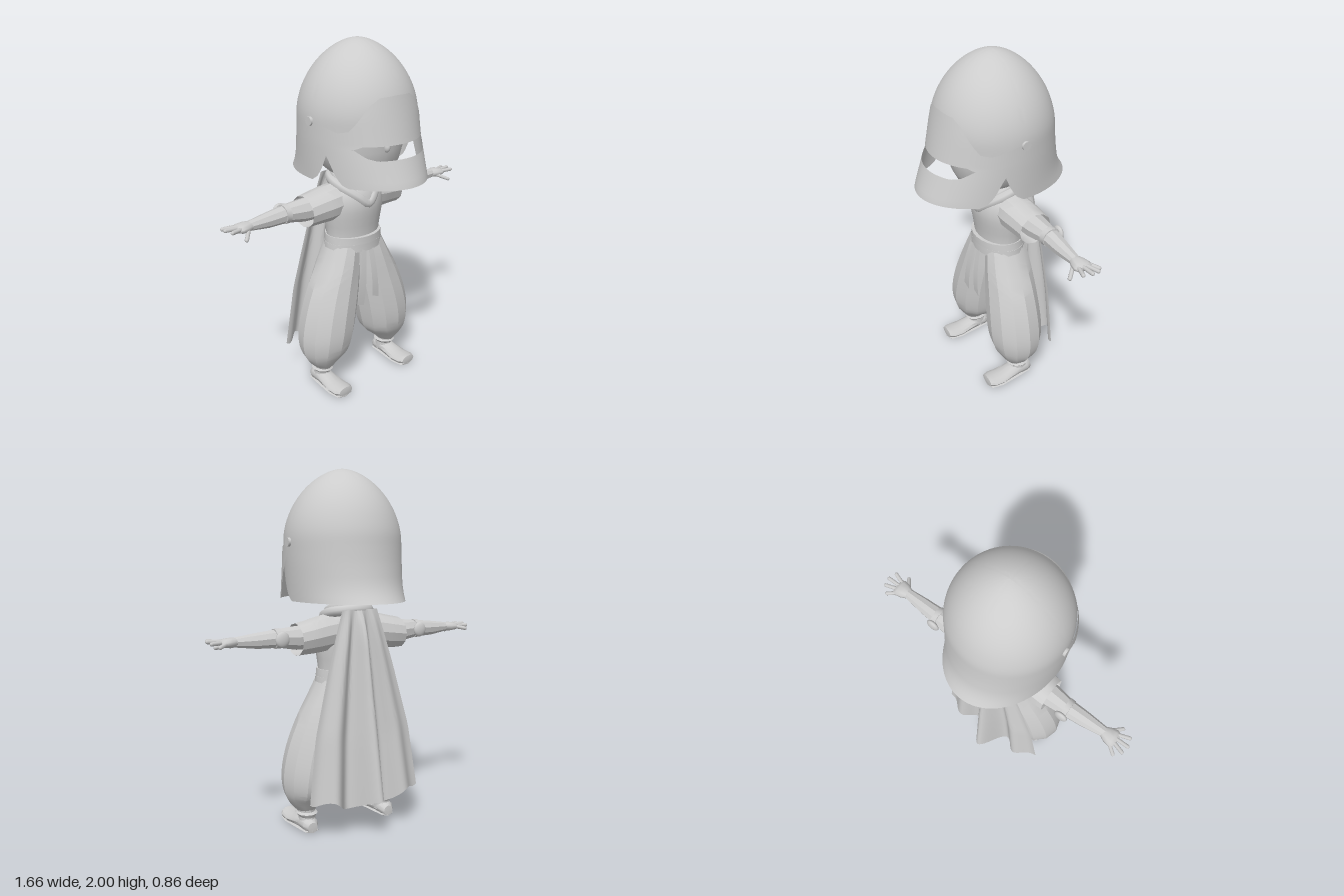
import * as THREE from 'three';
import { toCreasedNormals } from 'three/addons/utils/BufferGeometryUtils.js';
import { ParametricGeometry } from 'three/addons/geometries/ParametricGeometry.js';

const clay = new THREE.MeshStandardMaterial({ color: 0xcccccc, side: THREE.DoubleSide });
clay.name = 'light grey';

const mesh = (name, geometry, parent) => {
  const m = new THREE.Mesh(geometry, clay);
  m.name = name;
  parent.add(m);
  return m;
};

// Curved sheet from a rule fn(u, v) => [x, y, z]
const sheet = (fn, nu, nv, crease = 0.6) =>
  toCreasedNormals(new ParametricGeometry((u, v, p) => p.set(...fn(u, v)), nu, nv), crease);

// Piecewise linear lookup in [x, value] keys
const table = keys => x => {
  if (x <= keys[0][0]) return keys[0][1];
  for (let i = 1; i < keys.length; i++) {
    const [x0, a] = keys[i - 1], [x1, b] = keys[i];
    if (x <= x1) return a + (b - a) * (x - x0) / (x1 - x0);
  }
  return keys[keys.length - 1][1];
};

// Catmull-Rom between rows of numbers
const spline = (rows, f) => {
  const i = Math.min(Math.floor(f), rows.length - 2), t = f - i;
  const at = k => rows[Math.max(0, Math.min(rows.length - 1, k))];
  return rows[i].map((_, k) => {
    const a = at(i - 1)[k], b = at(i)[k], c = at(i + 1)[k], d = at(i + 2)[k];
    return b + 0.5 * t * (c - a + t * (2 * a - 5 * b + 4 * c - d + t * (3 * (b - c) + d - a)));
  });
};

// Loft of ellipses along an axis; each row is [position, centre1, centre2, radius1, radius2]
const loft = (axis, rows, sides, sub = 1, crease = 0.6) => sheet((u, v) => {
  const [t, c1, c2, r1, r2] = spline(rows, v * (rows.length - 1) + 1e-9);
  const a = u * Math.PI * 2, p = c1 + r1 * Math.cos(a), q = r2 * Math.sin(a);
  return axis === 'x' ? [t, p, c2 + q] : axis === 'y' ? [p, t, c2 - q] : [p, c2 + q, t];
}, sides, (rows.length - 1) * sub, crease);

const ball = (name, x, y, z, sx, sy, sz, parent) => {
  const m = mesh(name, new THREE.SphereGeometry(1, 20, 14), parent);
  m.position.set(x, y, z);
  m.scale.set(sx, sy, sz);
};

// Helmet profiles by height: round dome with a slight tip, straight sides
const sideR = table([[1.28, 0.314], [1.4, 0.32], [1.5, 0.324], [1.61, 0.325]]);
const domeR = y => y < 1.61 ? sideR(y) : 0.325 * Math.pow(Math.max(0, 1 - Math.pow((y - 1.61) / 0.39, 1.85)), 0.58);
const flare = table([[1.28, 0.115], [1.3, 0.097], [1.34, 0.068], [1.4, 0.042], [1.5, 0.019], [1.6, 0.006], [1.72, 0]]);
const visorR = table([[1.29, 0.435], [1.43, 0.38], [1.5, 0.352], [1.74, 0.298]]);
const DEG = 180 / Math.PI;

function buildHelmet(parent) {
  const helmet = new THREE.Group();
  helmet.name = 'helmet';
  parent.add(helmet);

  // Shell: open over the face, flared at the nape
  const rim = table([[55, 1.54], [65, 1.5], [72, 1.43], [76, 1.37], [82, 1.32], [90, 1.29]]);
  mesh('helmetShell', sheet((u, v) => {
    const a = (u * 2 - 1) * Math.PI, c = Math.cos(a);
    const yb = rim(Math.abs(a) * DEG), y = 2 - (2 - yb) * Math.pow(1 - v, 1.8);
    const r = domeR(y);
    return [r * Math.sin(a), y, -0.01 + (c < 0 ? r + flare(y) : r) * c];
  }, 96, 36, 0.7), helmet);

  // Visor: brow and jaw plates either side of the eye slot
  const top = table([[0, 1.74], [20, 1.735], [30, 1.7], [42, 1.62], [50, 1.575], [60, 1.565], [90, 1.62]]);
  const slotTop = table([[40, 1.5], [48, 1.485], [70, 1.5], [90, 1.6]]);
  const slotBottom = table([[29, 1.43], [38, 1.445], [48, 1.485], [70, 1.5], [90, 1.6]]);
  const bottom = table([[58, 1.285], [63, 1.3], [67, 1.34], [72, 1.43], [90, 1.58]]);
  const plate = (name, lo, hi) => mesh(name, sheet((u, v) => {
    const a = (u - 0.5) * Math.PI, d = Math.abs(a) * DEG;
    const y = lo(d) + (hi(d) - lo(d)) * v;
    return [(domeR(y) + 0.003) * Math.sin(a), y, -0.01 + (visorR(y) + 0.008) * Math.cos(a)];
  }, 72, 8), helmet);
  plate('visorBrow', slotTop, top);
  plate('visorJaw', bottom, slotBottom);

  // Visor pivots
  for (const s of [-1, 1]) {
    const pin = mesh('visorPivot', new THREE.CylinderGeometry(0.024, 0.024, 0.02, 16), helmet);
    pin.rotation.z = Math.PI / 2;
    pin.position.set(s * 0.328, 1.605, -0.005);
  }
}

function buildArm(side) {
  mesh('sleeve', loft('x', [
    [0.05, 1.125, -0.06, 0.1, 0.1], [0.17, 1.11, -0.065, 0.102, 0.105],
    [0.25, 1.1, -0.075, 0.095, 0.103], [0.33, 1.09, -0.08, 0.088, 0.098]], 12, 2, 0.5), side);
  mesh('arm', loft('x', [
    [0.2, 1.1, -0.08, 0.07, 0.07], [0.34, 1.1, -0.085, 0.064, 0.066], [0.44, 1.105, -0.09, 0.05, 0.052],
    [0.56, 1.1, -0.085, 0.042, 0.044], [0.68, 1.1, -0.08, 0.026, 0.03]], 9, 1, 0.5), side);
  mesh('elbowBand', loft('x', [
    [0.432, 1.105, -0.09, 0.045, 0.045], [0.432, 1.105, -0.09, 0.054, 0.056],
    [0.462, 1.105, -0.09, 0.053, 0.055], [0.462, 1.105, -0.09, 0.045, 0.045]], 14), side);
  ball('elbowPad', 0.44, 1.105, -0.15, 0.04, 0.042, 0.018, side);

  // Hand with spread fingers
  mesh('palm', loft('x', [
    [0.665, 1.1, -0.08, 0.024, 0.028], [0.7, 1.1, -0.08, 0.028, 0.045], [0.735, 1.1, -0.08, 0.023, 0.053],
    [0.755, 1.1, -0.08, 0.016, 0.045], [0.76, 1.1, -0.08, 0, 0]], 10, 1, 1.2), side);
  const fingers = [
    [[0.735, 1.1, -0.118], [0.78, 1.09, -0.15]], [[0.745, 1.105, -0.096], [0.812, 1.105, -0.117]],
    [[0.745, 1.107, -0.074], [0.82, 1.112, -0.075]], [[0.74, 1.105, -0.052], [0.805, 1.11, -0.03]],
    [[0.7, 1.09, -0.05], [0.748, 1.066, 0.004]]];
  fingers.forEach((ends, i) => {
    const [a, b] = ends.map(p => new THREE.Vector3(...p));
    const f = mesh(i === 4 ? 'thumb' : 'finger', new THREE.CapsuleGeometry(0.011, a.distanceTo(b), 3, 8), side);
    f.position.lerpVectors(a, b, 0.5);
    f.quaternion.setFromUnitVectors(new THREE.Vector3(0, 1, 0), b.sub(a).normalize());
  });
}

function buildLeg(side) {
  // Balloon trouser gathered at the ankle
  mesh('trouserLeg', loft('y', [
    [0.12, 0.252, -0.03, 0.055, 0.062], [0.165, 0.25, -0.03, 0.098, 0.092], [0.23, 0.232, -0.037, 0.148, 0.137],
    [0.33, 0.22, -0.037, 0.168, 0.157], [0.47, 0.193, -0.038, 0.168, 0.155], [0.62, 0.152, -0.043, 0.152, 0.145],
    [0.76, 0.112, -0.048, 0.114, 0.135], [0.86, 0.085, -0.05, 0.088, 0.12]], 12, 3, 0.48), side);
  // Ankle with gathered cuff
  mesh('ankle', loft('y', [[0.03, 0.252, -0.05, 0.048, 0.06], [0.08, 0.252, -0.045, 0.045, 0.055],
    [0.1, 0.252, -0.04, 0.062, 0.07], [0.11, 0.252, -0.035, 0.05, 0.058], [0.135, 0.252, -0.03, 0.056, 0.065]], 12), side);
  // Shoe with upturned toe
  const foot = mesh('shoe', loft('z', [
    [-0.122, 0, 0.03, 0, 0], [-0.12, 0, 0.03, 0.03, 0.03], [-0.09, 0, 0.04, 0.048, 0.04], [-0.03, 0, 0.042, 0.05, 0.042],
    [0.03, 0, 0.034, 0.055, 0.034], [0.09, 0, 0.026, 0.063, 0.026], [0.15, 0, 0.03, 0.062, 0.028],
    [0.178, 0, 0.034, 0.048, 0.026], [0.183, 0, 0.034, 0, 0]], 12, 1, 0.7), side);
  foot.position.x = 0.254;
  const sole = mesh('sole', loft('z', [
    [-0.122, 0, 0.008, 0, 0.008], [-0.11, 0, 0.008, 0.04, 0.008], [-0.03, 0, 0.008, 0.05, 0.008],
    [0.1, 0, 0.008, 0.064, 0.008], [0.17, 0, 0.008, 0.052, 0.008], [0.18, 0, 0.008, 0, 0.008]], 8), side);
  sole.position.x = 0.254;
}

export function createModel() {
  const model = new THREE.Group();
  model.name = 'helmetedFigure';

  // Large round head filling the helmet, and neck
  mesh('head', loft('y', [
    [1.27, 0, 0, 0, 0], [1.275, 0, 0.01, 0.1, 0.11], [1.3, 0, 0.005, 0.18, 0.18], [1.35, 0, -0.005, 0.235, 0.215],
    [1.43, 0, -0.015, 0.267, 0.24], [1.53, 0, -0.02, 0.28, 0.25], [1.63, 0, -0.02, 0.275, 0.25], [1.74, 0, -0.02, 0.235, 0.22],
    [1.82, 0, -0.02, 0.17, 0.16], [1.87, 0, -0.02, 0.08, 0.08], [1.88, 0, -0.02, 0, 0]], 32, 1, 1), model);
  ball('nose', 0, 1.455, 0.22, 0.018, 0.03, 0.025, model);
  mesh('neck', loft('y', [[1.15, 0, -0.06, 0.07, 0.07], [1.3, 0, -0.04, 0.07, 0.07]], 14), model);
  buildHelmet(model);

  // Tunic, belt and collar
  mesh('tunic', loft('y', [
    [0.82, 0, -0.05, 0.172, 0.12], [0.92, 0, -0.053, 0.168, 0.125], [1.02, 0, -0.05, 0.182, 0.137],
    [1.1, 0, -0.047, 0.185, 0.142], [1.17, 0, -0.05, 0.17, 0.128], [1.215, 0, -0.055, 0.12, 0.1],
    [1.235, 0, -0.06, 0.06, 0.06]], 20, 2), model);
  for (const [y, h, r] of [[0.825, 0.045, 0.185], [0.87, 0.042, 0.178]])
    mesh('belt', loft('y', [[y, 0, -0.05, r - 0.03, 0.11], [y, 0, -0.05, r, 0.143],
      [y + h, 0, -0.05, r - 0.005, 0.143], [y + h, 0, -0.05, r - 0.03, 0.11]], 24), model);
  const collar = (grow, drop, r) => {
    const half = [[0.055, 1.155, 0.06], [0.112, 1.205, 0], [0.12, 1.235, -0.08], [0.08, 1.25, -0.15]];
    const pts = [[0, 1.115, 0.075], ...half, [0, 1.255, -0.175], ...half.slice().reverse().map(([x, y, z]) => [-x, y, z])];
    const path = new THREE.CatmullRomCurve3(pts.map(([x, y, z]) =>
      new THREE.Vector3(x * grow, y - drop, (z + 0.05) * grow - 0.05)), true);
    mesh('collar', new THREE.TubeGeometry(path, 48, r, 8, true), model);
  };
  collar(1, 0.01, 0.03);
  collar(0.84, -0.015, 0.024);

  // Sash ends hanging from the belt
  for (const [x0, x1, y1] of [[-0.035, -0.085, 0.51], [0.015, 0.03, 0.53]])
    mesh('sashEnd', sheet((u, v) => [
      x0 + (x1 - x0) * v + (u - 0.5) * (0.035 + 0.015 * v),
      0.84 + (y1 - 0.84) * v - (u - 0.5) * 0.02 * v,
      0.088 + 0.03 * Math.sin(v * 2)], 2, 8), model);

  // Cape with deep vertical folds, fullest down the middle
  const capeHalf = table([[0, 0.11], [0.12, 0.15], [0.3, 0.205], [0.65, 0.3], [1, 0.35]]);
  const capeBack = table([[0, -0.2], [0.06, -0.24], [0.16, -0.27], [0.45, -0.31], [1, -0.4]]);
  mesh('cape', sheet((s, v) => {
    const u = s * 2 - 1, fold = 0.5 + 0.5 * Math.cos(u * 9);
    const hem = 0.15 + 0.07 * fold + 0.06 * Math.pow(Math.abs(u), 8);
    const front = -0.198 - 0.035 * v, bulge = fold * Math.pow(1 - u * u, 1.5);
    return [capeHalf(v) * u - 0.02 * v, 1.245 - v * (1.245 - hem), front + (capeBack(v) - front) * bulge];
  }, 60, 24, 0.9), model);

  // Mirrored limbs
  for (const s of [1, -1]) {
    const side = new THREE.Group();
    side.name = s > 0 ? 'leftLimbs' : 'rightLimbs';
    buildArm(side);
    buildLeg(side);
    side.scale.x = s;
    model.add(side);
  }
  return model;
}
